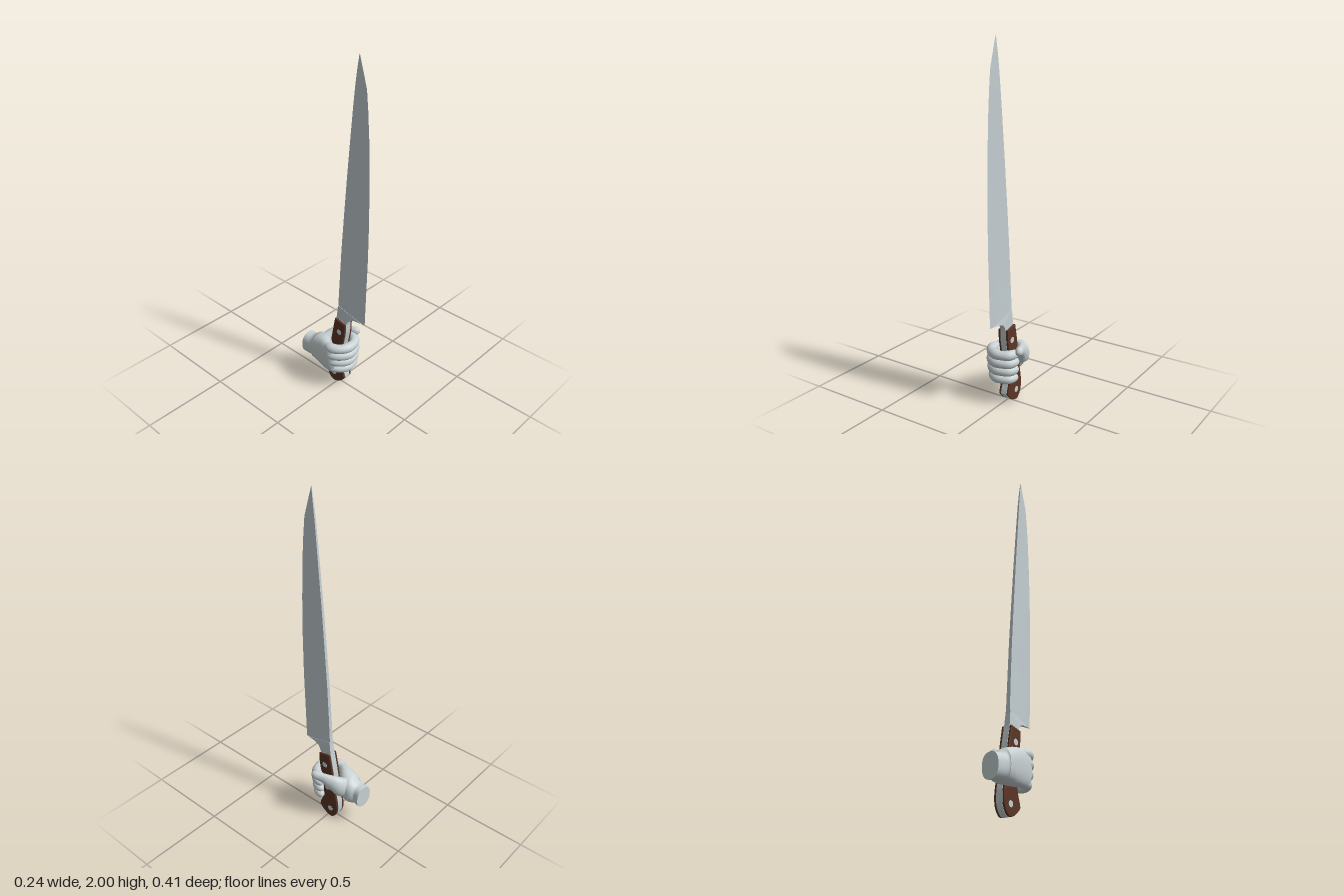
import * as THREE from 'three';

const V = (x, y, z) => new THREE.Vector3(x, y, z);
const CX = 0.007; // knife centre plane

const material = (name, color) => {
  const m = new THREE.MeshStandardMaterial({ color });
  m.name = name;
  return m;
};

// Skin closed rings (counter-clockwise about the path) and cap both ends
function skin(rings, flat) {
  const n = rings[0].length, pos = [], idx = [];
  rings.forEach(r => r.forEach(p => pos.push(p.x, p.y, p.z)));
  for (let i = 0; i < rings.length - 1; i++) {
    for (let j = 0; j < n; j++) {
      const a = i * n + j, b = i * n + (j + 1) % n;
      idx.push(a, b, a + n, b, b + n, a + n);
    }
  }
  [rings[0], rings[rings.length - 1]].forEach((r, end) => {
    const s = pos.length / 3;
    const c = r.reduce((sum, p) => sum.add(p), V(0, 0, 0)).divideScalar(n);
    [...r, c].forEach(p => pos.push(p.x, p.y, p.z));
    for (let j = 0; j < n; j++) {
      const k = (j + 1) % n;
      idx.push(s + n, s + (end ? j : k), s + (end ? k : j));
    }
  });
  let g = new THREE.BufferGeometry();
  g.setAttribute('position', new THREE.Float32BufferAttribute(pos, 3));
  g.setIndex(idx);
  if (flat) g = g.toNonIndexed();
  g.computeVertexNormals();
  return g;
}

// Smooth limb through stations [x, y, z, half width, half height]
function limb(stations, steps = 32, sides = 24, power = 1) {
  const path = new THREE.CatmullRomCurve3(stations.map(s => V(s[0], s[1], s[2])));
  const size = new THREE.CatmullRomCurve3(stations.map(s => V(s[3], s[4], 0)));
  const up = V(0, 1, 0), rings = [];
  const bend = v => Math.sign(v) * Math.abs(v) ** power;
  for (let i = 0; i <= steps; i++) {
    const t = i / steps, c = path.getPoint(t), r = size.getPoint(t);
    const side = V(0, 0, 0).crossVectors(up, path.getTangent(t).setY(0)).normalize();
    rings.push(Array.from({ length: sides }, (_, j) => {
      const a = j / sides * Math.PI * 2;
      return c.clone().addScaledVector(side, bend(Math.cos(a)) * r.x)
        .addScaledVector(up, bend(Math.sin(a)) * r.y);
    }));
  }
  return skin(rings);
}

// Plate drawn in z and y, with its thickness along x
function plate(shape, thickness, bevel = 0) {
  const g = new THREE.ExtrudeGeometry(shape, {
    depth: thickness - 2 * bevel, bevelEnabled: bevel > 0, bevelThickness: bevel,
    bevelSize: bevel, bevelOffset: -bevel, bevelSegments: 2, curveSegments: 8,
  });
  g.translate(0, 0, bevel - thickness / 2);
  g.rotateY(-Math.PI / 2);
  return g;
}

export function createModel() {
  const steel = material('steel', 0xc3cdd0);
  const wood = material('brown wood', 0x5a3524);
  const skinTone = material('pale skin', 0xc8d1d3);
  const model = new THREE.Group();
  model.name = 'handHoldingKnife';
  const knife = new THREE.Group(), hand = new THREE.Group();
  knife.name = 'knife';
  hand.name = 'hand';
  knife.position.x = CX;
  model.add(knife, hand);
  const add = (parent, name, geometry, mat) => {
    const m = new THREE.Mesh(geometry, mat);
    m.name = name;
    parent.add(m);
    return m;
  };

  // Blade: sections [y, edge z, spine z, half thickness]
  const blade = [
    [0.49, 0.186, -0.004, 0.013], [0.7, 0.192, 0.007, 0.011], [0.92, 0.199, 0.02, 0.01],
    [1.15, 0.201, 0.038, 0.009], [1.38, 0.198, 0.057, 0.008], [1.6, 0.19, 0.077, 0.007],
    [1.74, 0.18, 0.09, 0.006], [1.84, 0.17, 0.1, 0.005], [1.92, 0.147, 0.11, 0.004],
    [2, 0.123, 0.121, 0.0008],
  ].map(([y, edge, spine, t]) => {
    const mid = spine + (edge - spine) * 0.72;
    return [V(t, y, spine), V(-t, y, spine), V(-t * 0.5, y, mid), V(0, y, edge), V(t * 0.5, y, mid)];
  });
  add(knife, 'blade', skin(blade, true), steel);

  // Bolster, thinning toward the heel
  const bolsterShape = new THREE.Shape([
    [-0.011, 0.45], [0.064, 0.438], [0.068, 0.455], [0.083, 0.478], [0.115, 0.489],
    [0.165, 0.492], [0.0, 0.54],
  ].map(p => new THREE.Vector2(...p)));
  const bolster = plate(bolsterShape, 0.036);
  const p = bolster.attributes.position;
  for (let i = 0; i < p.count; i++) {
    const heel = THREE.MathUtils.clamp((p.getZ(i) - 0.05) / 0.11, 0, 1);
    const top = THREE.MathUtils.clamp((p.getY(i) - 0.48) / 0.06, 0, 1);
    p.setX(i, p.getX(i) * (1 - 0.65 * heel) * (1 - 0.2 * top));
  }
  bolster.computeVertexNormals();
  add(knife, 'bolster', bolster, steel);

  // Handle: steel tang between two wooden scales
  const grip = new THREE.Shape();
  grip.moveTo(-0.011, 0.458);
  grip.splineThru([
    [-0.035, 0.33], [-0.056, 0.19], [-0.07, 0.11], [-0.065, 0.045], [-0.032, 0.003],
    [0.015, 0.012], [0.056, 0.048], [0.057, 0.07], [0.042, 0.12], [0.032, 0.2],
    [0.046, 0.29], [0.062, 0.38], [0.064, 0.442],
  ].map(q => new THREE.Vector2(...q)));
  grip.closePath();
  grip.curves[0].arcLengthDivisions = 100;
  add(knife, 'tang', plate(grip, 0.036), steel);
  for (const s of [-1, 1]) {
    const scale = add(knife, s > 0 ? 'leftScale' : 'rightScale', plate(grip, 0.014, 0.004), wood);
    scale.position.x = s * 0.0245;
    for (const [y, z] of [[0.375, 0.022], [0.215, 0.002], [0.062, -0.02]]) {
      const rivet = add(knife, 'rivet', new THREE.CylinderGeometry(0.017, 0.017, 0.006, 16), steel);
      rivet.rotation.z = Math.PI / 2;
      rivet.position.set(s * 0.03, y, z);
    }
  }

  // Palm from the cut wrist to the knuckles
  add(hand, 'palm', limb([
    [-0.043, 0.207, -0.204, 0.053, 0.067], [-0.046, 0.21, -0.165, 0.051, 0.066],
    [-0.042, 0.222, -0.12, 0.067, 0.084], [-0.058, 0.228, -0.07, 0.057, 0.094],
    [-0.081, 0.228, -0.02, 0.038, 0.096], [-0.088, 0.227, 0.02, 0.03, 0.092],
    [-0.082, 0.226, 0.045, 0.018, 0.08],
  ], 40, 36, 0.85), skinTone);

  // Thumb
  add(hand, 'thumb', limb([
    [-0.035, 0.235, -0.1, 0.035, 0.06], [0.025, 0.258, -0.077, 0.04, 0.068],
    [0.062, 0.293, -0.033, 0.028, 0.047], [0.083, 0.318, 0.008, 0.021, 0.03],
    [0.096, 0.327, 0.038, 0.022, 0.026], [0.101, 0.329, 0.056, 0.017, 0.02],
    [0.103, 0.33, 0.066, 0.002, 0.003],
  ], 36, 24), skinTone);

  // Four curled fingers, thicker at the joints
  const fingers = [
    ['indexFinger', 0.3, 1, 0.028], ['middleFinger', 0.252, 1, 0.0285],
    ['ringFinger', 0.205, 0.97, 0.0275], ['littleFinger', 0.155, 0.91, 0.026],
  ];
  const curl = [
    [-0.086, -0.015, 0.8], [-0.09, 0.025, 1.02], [-0.066, 0.07, 0.94], [-0.025, 0.092, 1.03],
    [0.018, 0.092, 0.93], [0.05, 0.074, 1.02], [0.066, 0.042, 0.9], [0.064, 0.022, 0.7],
    [0.061, 0.012, 0.06],
  ];
  for (const [name, y, reach, r] of fingers) {
    add(hand, name, limb(curl.map(([x, z, k], i) =>
      [x * reach, y + 0.008 * i / 8, z * reach, r * k, r * k]), 40, 20), skinTone);
  }
  return model;
}
